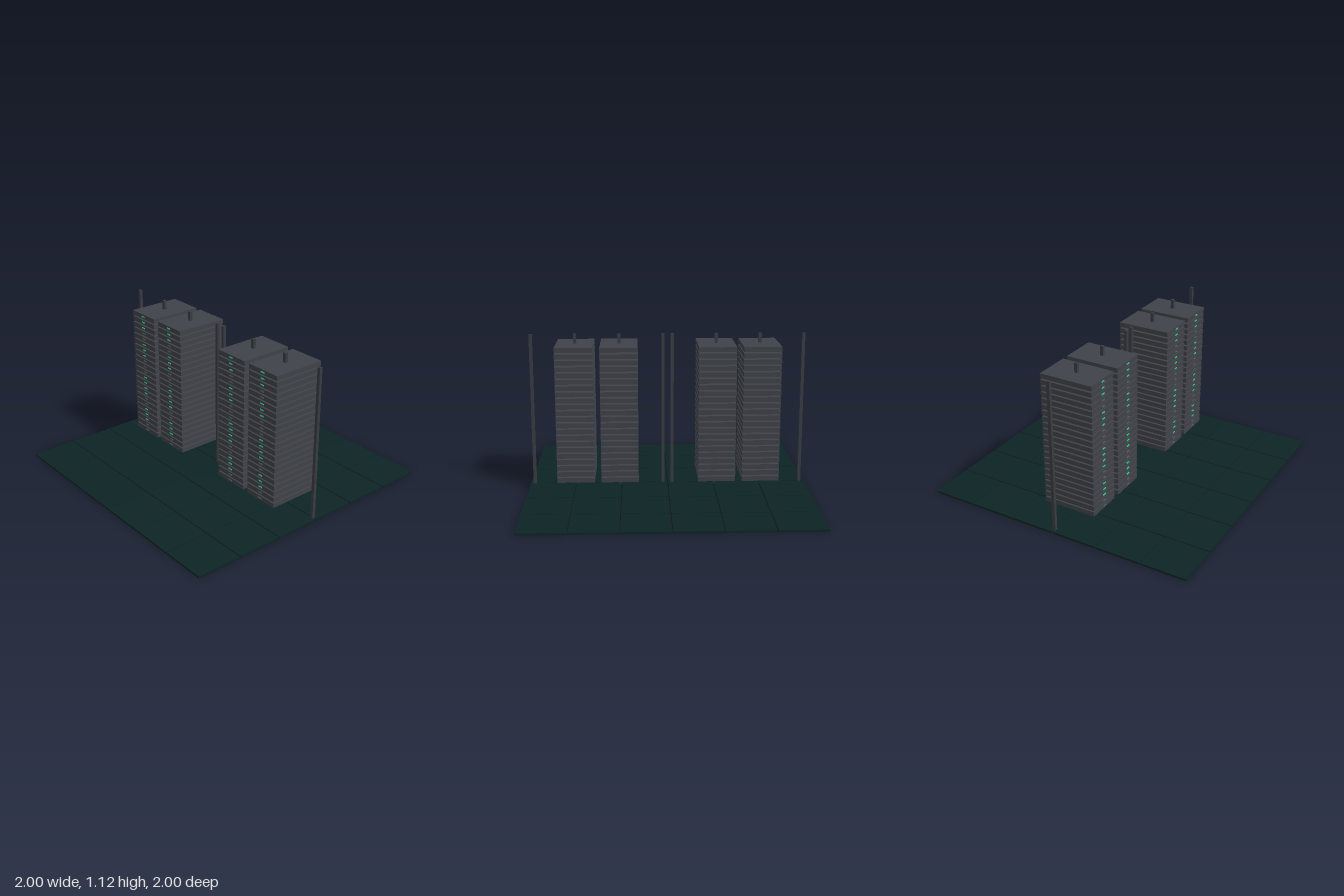
import * as THREE from 'three';

const mat = (name, color) => {
  const m = new THREE.MeshStandardMaterial({ color });
  m.name = name;
  return m;
};

export function createModel() {
  const model = new THREE.Group();
  model.name = 'serverRacks';

  const floorMat = mat('dark green floor', 0x0d2424);
  const caseMat = mat('charcoal casing', 0x3f4248);
  const postMat = mat('dark steel', 0x383c42);
  const litMat = mat('green light', 0x2fc987);
  const dimMat = mat('dim light', 0x565c60);

  const addBox = (parent, name, material, [w, h, d], [x, y, z]) => {
    const mesh = new THREE.Mesh(new THREE.BoxGeometry(w, h, d), material);
    mesh.name = name;
    mesh.position.set(x, y, z);
    parent.add(mesh);
  };

  // Floor of six by six tiles with thin open joints
  const floor = new THREE.Group();
  floor.name = 'floor';
  model.add(floor);
  const pitch = 1 / 3, joint = 0.006, tile = (2 - 5 * joint) / 6;
  for (let i = 0; i < 6; i++) {
    for (let j = 0; j < 6; j++) {
      const at = (k) => -1 + tile / 2 + k * (tile + joint);
      addBox(floor, 'floorTile', floorMat, [tile, 0.014, tile], [at(i), 0.007, at(j)]);
    }
  }

  // Free-standing posts beside each pair of racks
  const postHeight = 1.117;
  for (const x of [-0.97, -0.033, 0.033, 0.97]) {
    addBox(model, 'sidePost', postMat, [0.022, postHeight, 0.022], [x, postHeight / 2, 0]);
  }

  // Racks: stacked units on a central post, each with a status light in front
  const rows = 22, step = 0.0446, unitDepth = 0.392;
  const lit = new Set([0, 1, 2, 5, 6, 7, 11, 12, 13, 14, 17, 18, 19]);
  for (const x of [-0.658, -0.345, 0.345, 0.658]) {
    const rack = new THREE.Group();
    rack.name = 'rack';
    rack.position.x = x;
    model.add(rack);
    addBox(rack, 'rackPost', postMat, [0.022, postHeight, 0.022], [0, postHeight / 2, 0]);
    for (let i = 0; i < rows; i++) {
      const y = 1.032 - i * step;
      addBox(rack, 'rackUnit', caseMat, [0.266, 0.034, unitDepth], [0, y, 0]);
      addBox(rack, 'statusLight', lit.has(i) ? litMat : dimMat,
        [0.032, 0.008, 0.006], [0, y, unitDepth / 2 + 0.002]);
    }
  }
  return model;
}
